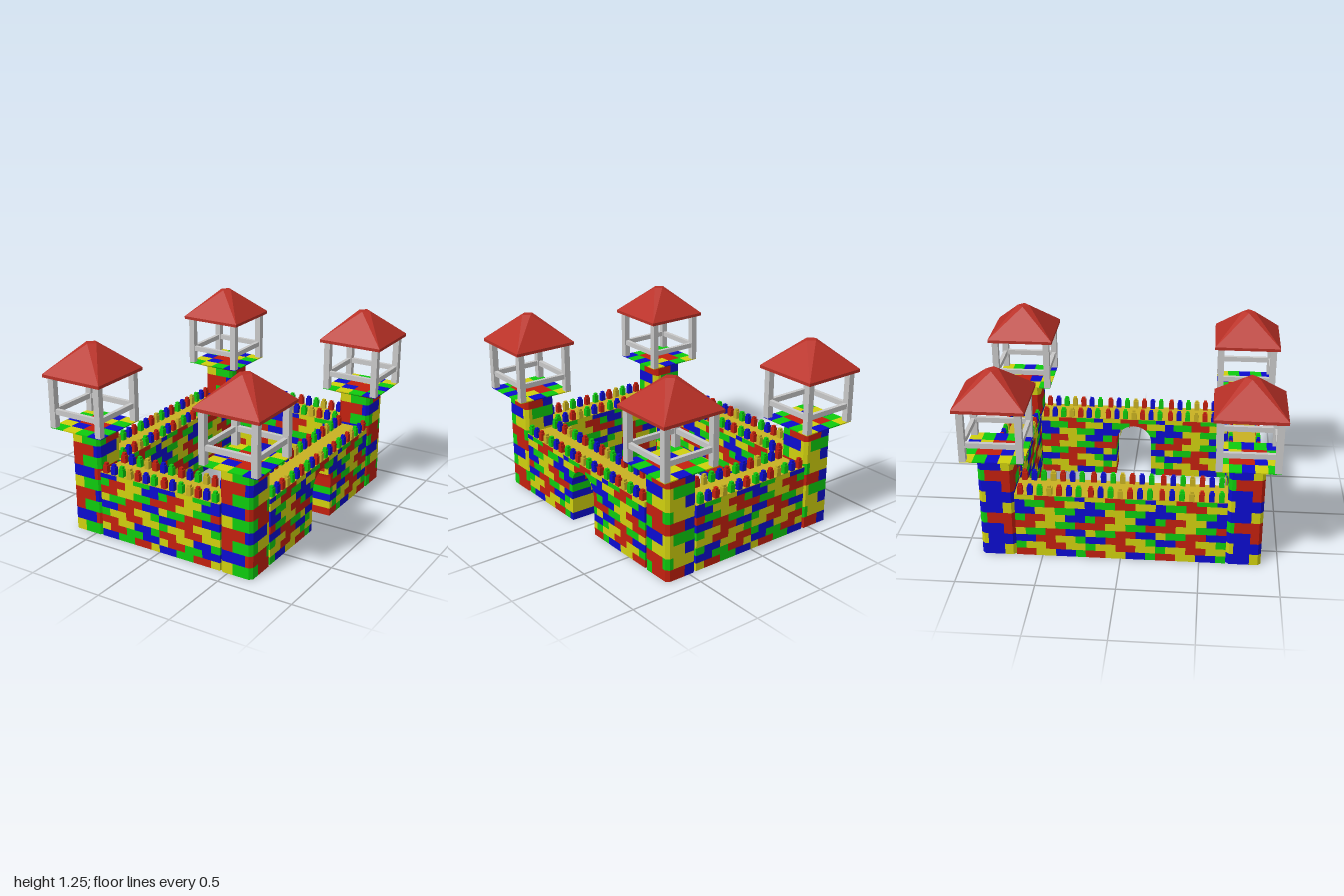
import * as THREE from 'three';
import { mergeGeometries } from 'three/addons/utils/BufferGeometryUtils.js';
import { ConvexGeometry } from 'three/addons/geometries/ConvexGeometry.js';

const mat = (name, color) => Object.assign(new THREE.MeshStandardMaterial({ color }), { name });
const MATS = {
  R: mat('brick red', 0xc4200e), G: mat('brick green', 0x0ecc0e),
  B: mat('brick blue', 0x0c0cd0), Y: mat('brick yellow', 0xd0d00e),
  O: mat('walkway gold', 0xc9b222), S: mat('frame grey', 0xc8c8c8), T: mat('roof red', 0xb93026),
};

// Collects geometries by colour and turns them into one mesh per colour
class Part {
  constructor(name) { this.name = name; this.sets = {}; }
  add(key, geo) {
    const g = geo.index ? geo.toNonIndexed() : geo;
    g.deleteAttribute('uv');
    (this.sets[key] ??= []).push(g);
  }
  box(key, x0, x1, y0, y1, z0, z1) {
    this.add(key, new THREE.BoxGeometry(x1 - x0, y1 - y0, z1 - z0)
      .translate((x0 + x1) / 2, (y0 + y1) / 2, (z0 + z1) / 2));
  }
  build() {
    const group = new THREE.Group();
    group.name = this.name;
    for (const [key, list] of Object.entries(this.sets)) {
      const mesh = new THREE.Mesh(mergeGeometries(list), MATS[key]);
      mesh.name = `${this.name} ${MATS[key].name}`;
      group.add(mesh);
    }
    return group;
  }
}

const CX = 0.557, CZ = 0.78;             // tower centres
const SEG = 0.445, WALL_H = 0.445, HALF_D = 0.108;
const ROW = 0.0513, BRICK = SEG / 3.5;
const WALL_ROWS = ['BGRY', 'YRGB', 'RYBG', 'GYRY', 'BRYG', 'YGRB', 'RYGR', 'GRYB', 'BYGB'];

// Half-width of the gateway at height y
const GATE_R = 0.126, SPRING = 0.264;
const gateWidth = (y) => y <= SPRING ? GATE_R
  : Math.sqrt(Math.max(0, GATE_R ** 2 - (y - SPRING) ** 2));

// Brick cut back to the edge of the gateway
function gateBrick(part, key, x0, x1, y0, y1) {
  for (const s of [-1, 1]) {
    const a = Math.max(0, s > 0 ? x0 : -x1), b = s > 0 ? x1 : -x0;
    if (b - a < 1e-4) continue;
    const inner = [];
    for (let i = 0; i <= 8; i++) {
      const y = y1 + (y0 - y1) * i / 8;
      inner.push([Math.min(b, Math.max(a, gateWidth(y))), y]);
    }
    if (inner.every((p) => p[0] > b - 1e-4)) continue;
    if (inner.every((p) => p[0] < a + 1e-4)) {
      part.box(key, Math.min(s * a, s * b), Math.max(s * a, s * b), y0, y1, -HALF_D, HALF_D);
      continue;
    }
    const pts = [[b, y0], [b, y1], ...inner]
      .filter((p, i, all) => !i || Math.hypot(p[0] - all[i - 1][0], p[1] - all[i - 1][1]) > 1e-5)
      .map(([x, y]) => new THREE.Vector2(s * x, y));
    part.add(key, new THREE.ExtrudeGeometry(new THREE.Shape(pts),
      { depth: 2 * HALF_D, bevelEnabled: false }).translate(0, 0, -HALF_D));
  }
}

// Wall of equal segments along x, with walkway and two rows of studded merlons
function makeWall(name, segments, gate, shift) {
  const part = new Part(name);
  const deck = WALL_H - 0.004;
  for (let s = 0; s < segments; s++) {
    const mid = (s - (segments - 1) / 2) * SEG;
    const hasGate = gate && mid === 0;
    for (let r = 0; r * ROW < deck; r++) {
      const y0 = r * ROW, y1 = Math.min(deck, y0 + ROW);
      const colours = WALL_ROWS[(r + shift) % WALL_ROWS.length];
      let x = mid - SEG / 2;
      for (let i = 0; i < 4; i++) {
        const w = BRICK * (i === (r % 2 ? 0 : 3) ? 0.5 : 1);
        if (hasGate) gateBrick(part, colours[i], x, x + w, y0, y1);
        else part.box(colours[i], x, x + w, y0, y1, -HALF_D, HALF_D);
        x += w;
      }
    }
    part.box('O', mid - SEG / 2, mid + SEG / 2, deck, WALL_H, -HALF_D, HALF_D);
    [...'RBGYRBG'].forEach((c, i) => {
      const x = mid + (i - 3) * 0.0615;
      for (const z of [-0.093, 0.093]) {
        const key = c === 'Y' ? 'O' : c;
        part.box(key, x - 0.017, x + 0.017, WALL_H, 0.497, z - 0.015, z + 0.015);
        part.box(key, x - 0.011, x + 0.011, 0.497, 0.513, z - 0.011, z + 0.011);
      }
    });
  }
  return part.build();
}

// Tower brick: rectangle with its outer corner chamfered
function cornerBrick(part, key, sx, sz, ix, iz, y0, y1) {
  const h = 0.111, c = 0.02;
  const pts = [[ix, iz], [sx * h, iz], [sx * h, sz * (h - c)], [sx * (h - c), sz * h], [ix, sz * h]];
  const shape = new THREE.Shape(pts.map(([x, z]) => new THREE.Vector2(x, -z)));
  part.add(key, new THREE.ExtrudeGeometry(shape, { depth: y1 - y0, bevelEnabled: false })
    .rotateX(-Math.PI / 2).translate(0, y0, 0));
}

// Colours per row: front left, front right, back right, back left
const TOWER_ROWS = ['YGRB', 'BRGY', 'RGYB', 'RBYG'];

function makeTower(name) {
  const tower = new THREE.Group();
  tower.name = name;

  // Brick shaft
  const shaft = new Part('towerShaft');
  for (let r = 0; r < 9; r++) {
    const y0 = r * 0.0765, y1 = Math.min(0.67, y0 + 0.0765);
    const ix = r % 2 ? 0.066 : -0.022, iz = r % 2 ? -0.066 : 0.037;
    const c = TOWER_ROWS[r % 4];
    cornerBrick(shaft, c[0], -1, 1, ix, iz, y0, y1);
    cornerBrick(shaft, c[1], 1, 1, ix, iz, y0, y1);
    cornerBrick(shaft, c[2], 1, -1, ix, iz, y0, y1);
    cornerBrick(shaft, c[3], -1, -1, ix, iz, y0, y1);
  }
  tower.add(shaft.build());

  // Flared brick platform
  const platform = new Part('towerPlatform');
  const cuts = [-1, -0.4, 0.4, 1];
  ['YGR', 'RBG', 'GYB', 'BRY'].forEach((c, side) => {
    for (let i = 0; i < 3; i++) {
      const [u, v] = [cuts[i], cuts[i + 1]], b = 0.109, t = 0.197;
      const p = [[u * b, 0.668, b], [v * b, 0.668, b], [v * t, 0.71, t], [u * t, 0.71, t]];
      const g = new THREE.BufferGeometry();
      g.setAttribute('position', new THREE.Float32BufferAttribute(
        [0, 1, 2, 0, 2, 3].flatMap((k) => p[k]), 3));
      g.computeVertexNormals();
      platform.add(c[i], g.rotateY(side * Math.PI / 2));
    }
  });
  ['YGBY', 'GRYG', 'BRRB', 'YBRG', 'GYGB'].forEach((c, j) => {
    for (let i = 0; i < 4; i++) {
      const x = -0.197 + i * 0.0985, z = -0.197 + j * 0.0788;
      platform.box(c[i], x, x + 0.0985, 0.707, 0.714, z, z + 0.0788);
    }
  });
  tower.add(platform.build());

  // Posts and handrails
  const frame = new Part('lookoutFrame');
  const o = 0.198, w = 0.042;
  for (const sx of [0, 1]) for (const sz of [0, 1]) {
    const x = sx ? o - w : -o, z = sz ? o - w : -o;
    frame.box('S', x, x + w, 0.712, 1.05, z, z + w);
  }
  for (const s of [-1, 1]) {
    const m = s * (o - w / 2);
    frame.box('S', w - o, o - w, 0.803, 0.837, m - 0.013, m + 0.013);
    frame.box('S', m - 0.013, m + 0.013, 0.803, 0.837, w - o, o - w);
  }
  tower.add(frame.build());

  // Roof: square eaves rising to a small diamond top
  const pts = [];
  for (const sx of [-1, 1]) for (const sz of [-1, 1]) for (const y of [1.046, 1.066])
    pts.push(new THREE.Vector3(sx * 0.221, y, sz * 0.221));
  for (const s of [-0.04, 0.04])
    pts.push(new THREE.Vector3(s, 1.25, 0), new THREE.Vector3(0, 1.25, s));
  const roof = new THREE.Mesh(new ConvexGeometry(pts), MATS.T);
  roof.name = 'towerRoof';
  tower.add(roof);
  return tower;
}

export function createModel() {
  const castle = new THREE.Group();
  castle.name = 'brickCastle';
  for (const [sx, side] of [[1, 'Left'], [-1, 'Right']])
    for (const [sz, end] of [[1, 'front'], [-1, 'back']]) {
      const tower = makeTower(`${end}${side}Tower`);
      tower.position.set(sx * CX, 0, sz * CZ);
      castle.add(tower);
    }
  for (const [s, name] of [[1, 'frontWall'], [-1, 'backWall']]) {
    const wall = makeWall(name, 2, false, 0);
    wall.position.z = s * CZ;
    castle.add(wall);
  }
  for (const [s, name] of [[1, 'leftGateWall'], [-1, 'rightWall']]) {
    const wall = makeWall(name, 3, s > 0, 2);
    wall.position.x = s * CX;
    wall.rotation.y = -Math.PI / 2;
    castle.add(wall);
  }
  return castle;
}
